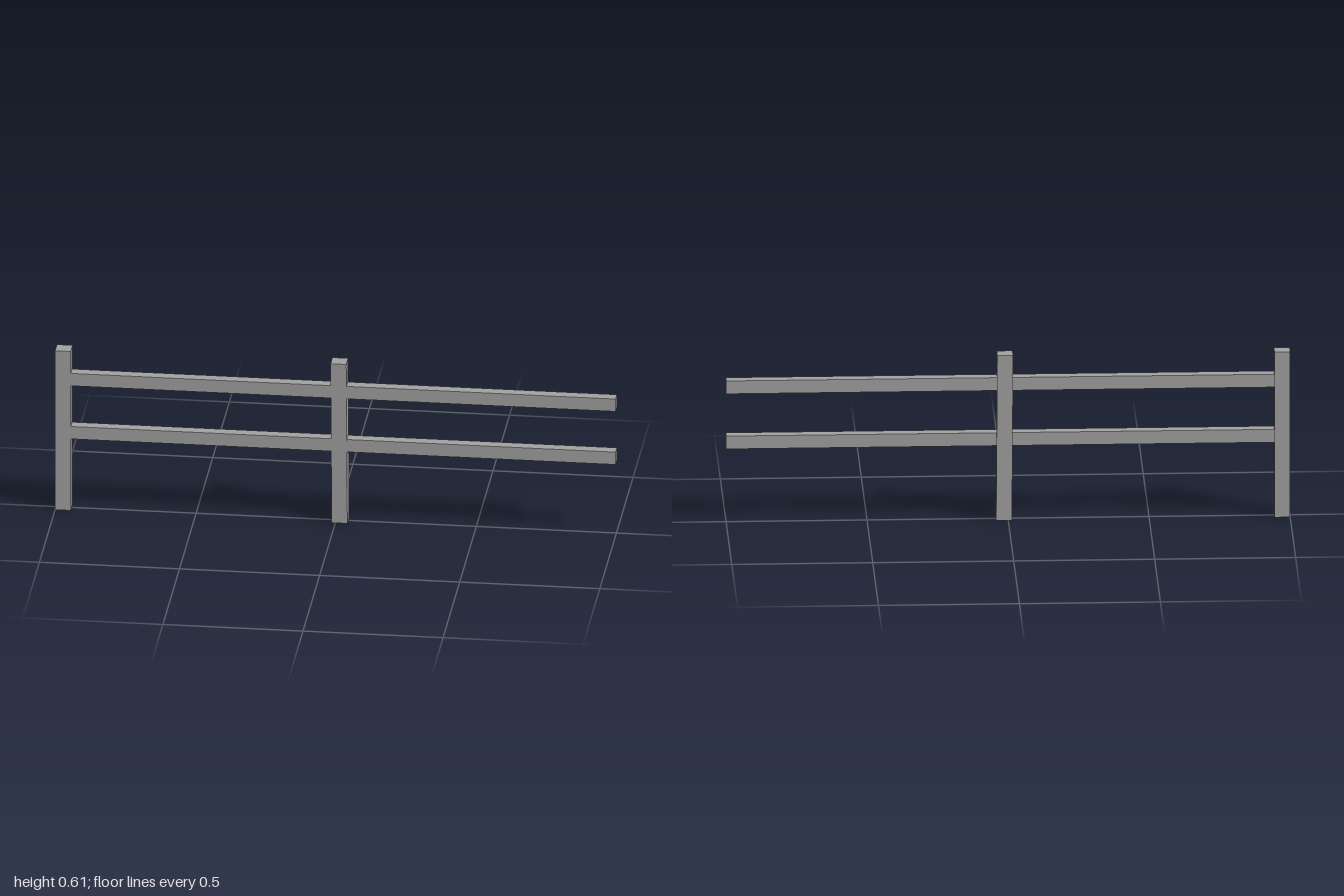
import * as THREE from 'three';

const POST_HEIGHT = 0.614;
const POST_WIDTH = 0.056;

export function createModel() {
  const fence = new THREE.Group();
  fence.name = 'fence';
  const grey = new THREE.MeshStandardMaterial({ color: 0xa0a0a0 });
  grey.name = 'grey wood';

  const add = (name, geometry, x, y, z) => {
    const mesh = new THREE.Mesh(geometry, grey);
    mesh.name = name;
    mesh.position.set(x, y, z);
    fence.add(mesh);
  };

  // Square post whose foot is shifted sideways by lean
  const postGeometry = (lean) => {
    const geometry = new THREE.BoxGeometry(POST_WIDTH, POST_HEIGHT, POST_WIDTH);
    const p = geometry.attributes.position;
    for (let i = 0; i < p.count; i++) {
      if (p.getY(i) < 0) p.setX(i, p.getX(i) + lean);
    }
    geometry.computeVertexNormals();
    return geometry;
  };

  // Posts: one at the end, one slightly leaning in the middle
  add('endPost', postGeometry(0), -0.972, POST_HEIGHT / 2, 0);
  add('middlePost', postGeometry(0.004), 0.011, POST_HEIGHT / 2, 0);

  // Rails run from the end post, through the middle post, to the open end
  const railStart = -0.96;
  const railLength = 1 - railStart;
  for (const [name, y] of [['lowerRail', 0.299], ['upperRail', 0.504]]) {
    add(name, new THREE.BoxGeometry(railLength, 0.048, 0.04), railStart + railLength / 2, y, 0.005);
  }
  return fence;
}
